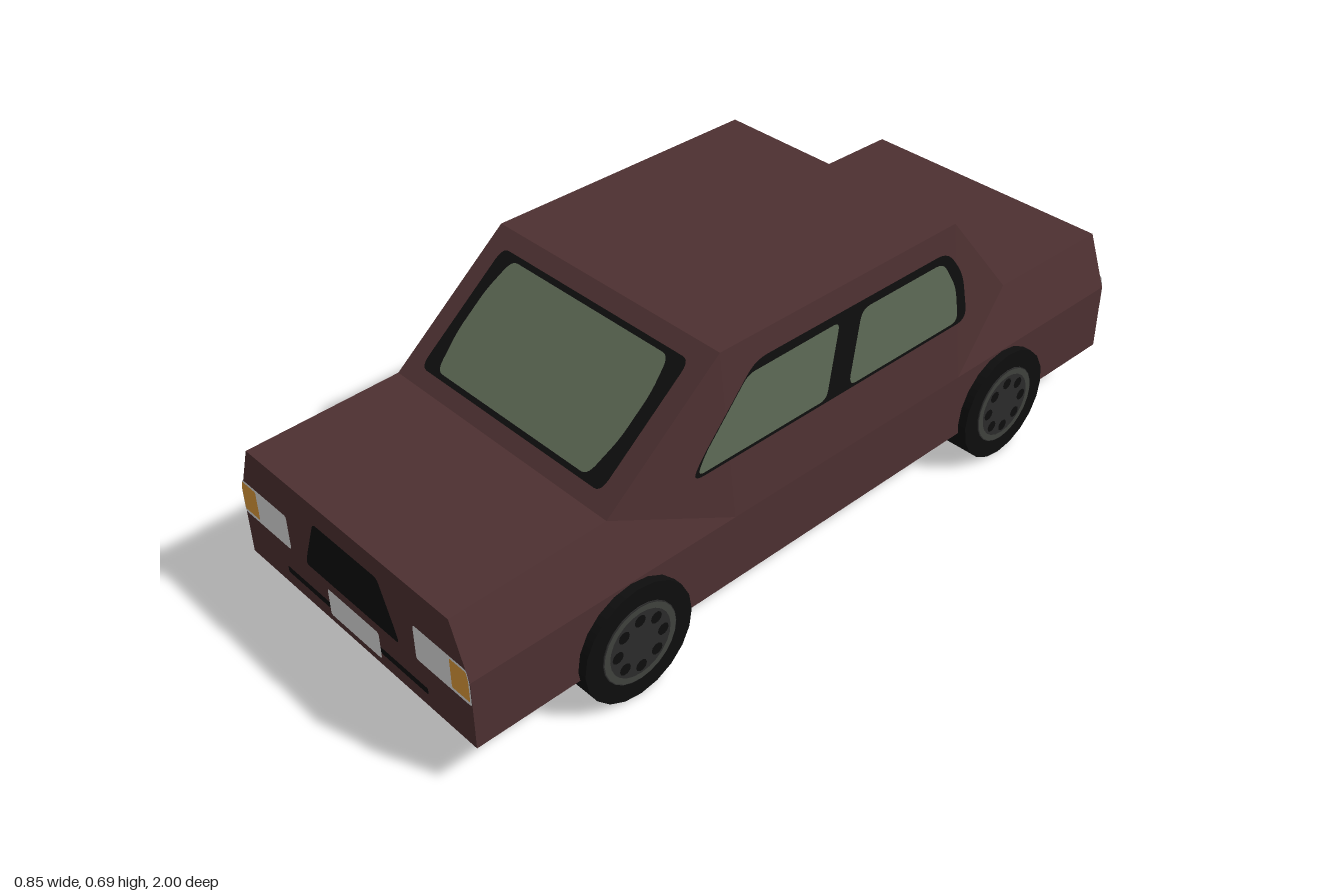
import * as THREE from 'three';

const mat = (name, color, side = THREE.FrontSide) => {
  const m = new THREE.MeshStandardMaterial({ color, side });
  m.name = name;
  return m;
};

// Outline with corners cut and curved by radius r
function rounded(pts, r) {
  const s = new THREE.Shape(), v = pts.map(p => new THREE.Vector2(...p)), n = v.length;
  const toward = (a, b) => a.clone().lerp(b, Math.min(0.5, r / a.distanceTo(b)));
  v.forEach((p, i) => {
    const a = toward(p, v[(i + n - 1) % n]), b = toward(p, v[(i + 1) % n]);
    if (i) s.lineTo(a.x, a.y); else s.moveTo(a.x, a.y);
    s.quadraticCurveTo(p.x, p.y, b.x, b.y);
  });
  s.closePath();
  return s;
}

const rect = (x0, x1, y0, y1) => [[x0, y0], [x1, y0], [x1, y1], [x0, y1]];

export function createModel() {
  const car = new THREE.Group();
  car.name = 'car';
  const paint = mat('maroon paint', 0x4d3031);
  const black = mat('black trim', 0x0e0e0e, THREE.DoubleSide);
  const glass = mat('green glass', 0x5b6753, THREE.DoubleSide);
  const white = mat('white lamp', 0xdedede, THREE.DoubleSide);
  const orange = mat('orange lamp', 0xde9a3a, THREE.DoubleSide);
  const hubGrey = mat('hub grey', 0x2c2c2c);
  const rimGrey = mat('rim grey', 0x40423e, THREE.DoubleSide);
  const under = mat('underside grey', 0x171717, THREE.DoubleSide);

  const add = (name, geo, material, parent = car) => {
    const m = new THREE.Mesh(geo, material);
    m.name = name;
    parent.add(m);
    return m;
  };

  // Flat painted detail: a 2D outline placed on a surface by a mapping rule
  const plate = (name, pts, r, material, place) => {
    const g = new THREE.ShapeGeometry(rounded(pts, r), 5), p = g.attributes.position;
    for (let i = 0; i < p.count; i++) p.setXYZ(i, ...place(p.getX(i), p.getY(i)));
    g.computeVertexNormals();
    return add(name, g, material);
  };

  // Body shell: one six-point cross-section per station, [z, top height]
  const stations = [[0.998, 0.425], [0.61, 0.435], [0.3, 0.69], [-0.43, 0.69], [-0.64, 0.435], [-0.998, 0.43]];
  const rings = stations.map(([z, t]) => [
    [0.4, 0.12, z], [0.4, 0.295, z], [0.35, t, z], [-0.35, t, z], [-0.4, 0.295, z], [-0.4, 0.12, z]]);
  const verts = [];
  const tri = (...c) => c.forEach(p => verts.push(...p));
  for (let i = 0; i < 5; i++) {
    const rising = stations[i + 1][1] > stations[i][1];
    for (let j = 0; j < 6; j++) {
      const k = (j + 1) % 6;
      const a = rings[i][j], b = rings[i + 1][j], c = rings[i + 1][k], d = rings[i][k];
      if ((j === 1) === rising) { tri(a, b, d); tri(b, c, d); }
      else { tri(a, b, c); tri(a, c, d); }
    }
  }
  for (let j = 1; j < 5; j++) {
    tri(rings[0][0], rings[0][j], rings[0][j + 1]);
    tri(rings[5][0], rings[5][j + 1], rings[5][j]);
  }
  const shell = new THREE.BufferGeometry();
  shell.setAttribute('position', new THREE.Float32BufferAttribute(verts, 3));
  shell.computeVertexNormals();
  add('body', shell, paint);

  // Windscreen and rear window lie on the sloping ends of the cabin
  const slope = (zTop, zBase, off) => (x, y) => {
    const dz = zBase - zTop, len = Math.hypot(dz, 0.255);
    const z = zTop + dz * (0.69 - y) / 0.255;
    return [x, y + off * Math.abs(dz) / len, z + off * Math.sign(dz) * 0.255 / len];
  };
  plate('windscreenFrame', rect(-0.3, 0.3, 0.46, 0.662), 0.02, black, slope(0.3, 0.61, 0.003));
  plate('windscreen', [[-0.25, 0.468], [0.25, 0.468], [0.268, 0.53], [0.268, 0.6], [0.252, 0.653],
    [-0.252, 0.653], [-0.268, 0.6], [-0.268, 0.53]], 0.018, glass, slope(0.3, 0.61, 0.006));
  plate('rearWindowFrame', rect(-0.297, 0.297, 0.467, 0.637), 0.02, black, slope(-0.43, -0.64, 0.003));
  plate('rearWindow', rect(-0.282, 0.282, 0.473, 0.631), 0.015, glass, slope(-0.43, -0.64, 0.006));

  // Side windows and lamps, mirrored
  for (const s of [1, -1]) {
    const side = s > 0 ? 'left' : 'right';
    const flank = off => (z, y) => [s * (0.4 - (y - 0.295) * 0.1266 + off), y, z];
    plate(side + 'WindowFrame', [[0.41, 0.44], [0.385, 0.475], [0.21, 0.633], [-0.4, 0.633],
      [-0.45, 0.56], [-0.46, 0.44]], 0.035, black, flank(0.003));
    plate(side + 'FrontWindow', [[0.398, 0.45], [0.37, 0.49], [0.235, 0.613], [-0.04, 0.615], [0.015, 0.45]],
      0.02, glass, flank(0.006));
    plate(side + 'RearWindow', [[-0.055, 0.45], [-0.11, 0.615], [-0.38, 0.615], [-0.42, 0.54], [-0.425, 0.45]],
      0.025, glass, flank(0.006));
    for (const e of [1, -1]) {
      const end = e > 0 ? 'Front' : 'Rear';
      const face = off => (x, y) => [s * x, y, e * (0.998 + off)];
      plate(side + end + 'Lamp', [[0.222, 0.234], [0.4, 0.234], [0.4, 0.295], [0.392, 0.325], [0.222, 0.325]],
        0.008, white, face(0.001));
      plate(side + end + 'Indicator', [[0.34, 0.244], [0.397, 0.244], [0.397, 0.3], [0.392, 0.32], [0.34, 0.32]],
        0.004, orange, face(0.002));
    }
  }

  // Grille, lower intake and number plates
  const ends = (e, off) => (x, y) => [x, y, e * (0.998 + off)];
  plate('grille', [[-0.165, 0.233], [0.165, 0.233], [0.155, 0.265], [0.112, 0.372], [-0.112, 0.372], [-0.155, 0.265]],
    0.012, black, ends(1, 0.001));
  plate('lowerIntake', rect(-0.25, 0.25, 0.155, 0.172), 0.004, black, ends(1, 0.001));
  plate('frontPlate', rect(-0.091, 0.091, 0.14, 0.212), 0.008, white, ends(1, 0.002));
  plate('rearPlate', rect(-0.085, 0.085, 0.126, 0.195), 0.008, white, ends(-1, 0.001));

  // Underside: black floor with raised grey panels
  const floor = y => (x, z) => [x, y, z];
  plate('floor', rect(-0.385, 0.385, -0.97, 0.97), 0.02, black, floor(0.118));
  for (const [z0, z1] of [[-0.3, 0.92], [-0.57, -0.34], [-0.93, -0.62]])
    plate('floorPanel', rect(-0.33, 0.33, z0, z1), 0.03, under, floor(0.115));

  // Wheels: tyre, hub, rim ring and a circle of dark holes
  const hole = new THREE.CircleGeometry(0.015, 10).rotateY(Math.PI / 2);
  for (const s of [1, -1]) for (const z of [0.595, -0.595]) {
    const wheel = new THREE.Group();
    wheel.name = (s > 0 ? 'left' : 'right') + (z > 0 ? 'Front' : 'Rear') + 'Wheel';
    wheel.position.set(0, 0.146, z);
    if (s < 0) wheel.rotation.y = Math.PI;
    car.add(wheel);
    add('tyre', new THREE.CylinderGeometry(0.146, 0.146, 0.108, 20).rotateZ(Math.PI / 2), black, wheel)
      .position.x = 0.368;
    add('hub', new THREE.CylinderGeometry(0.1, 0.1, 0.01, 24).rotateZ(-Math.PI / 2), hubGrey, wheel)
      .position.x = 0.419;
    add('rim', new THREE.RingGeometry(0.083, 0.098, 24).rotateY(Math.PI / 2), rimGrey, wheel)
      .position.x = 0.425;
    for (let i = 0; i < 8; i++) {
      const a = i * Math.PI / 4;
      add('hubHole', hole, black, wheel).position.set(0.4255, 0.062 * Math.sin(a), 0.062 * Math.cos(a));
    }
  }
  return car;
}
